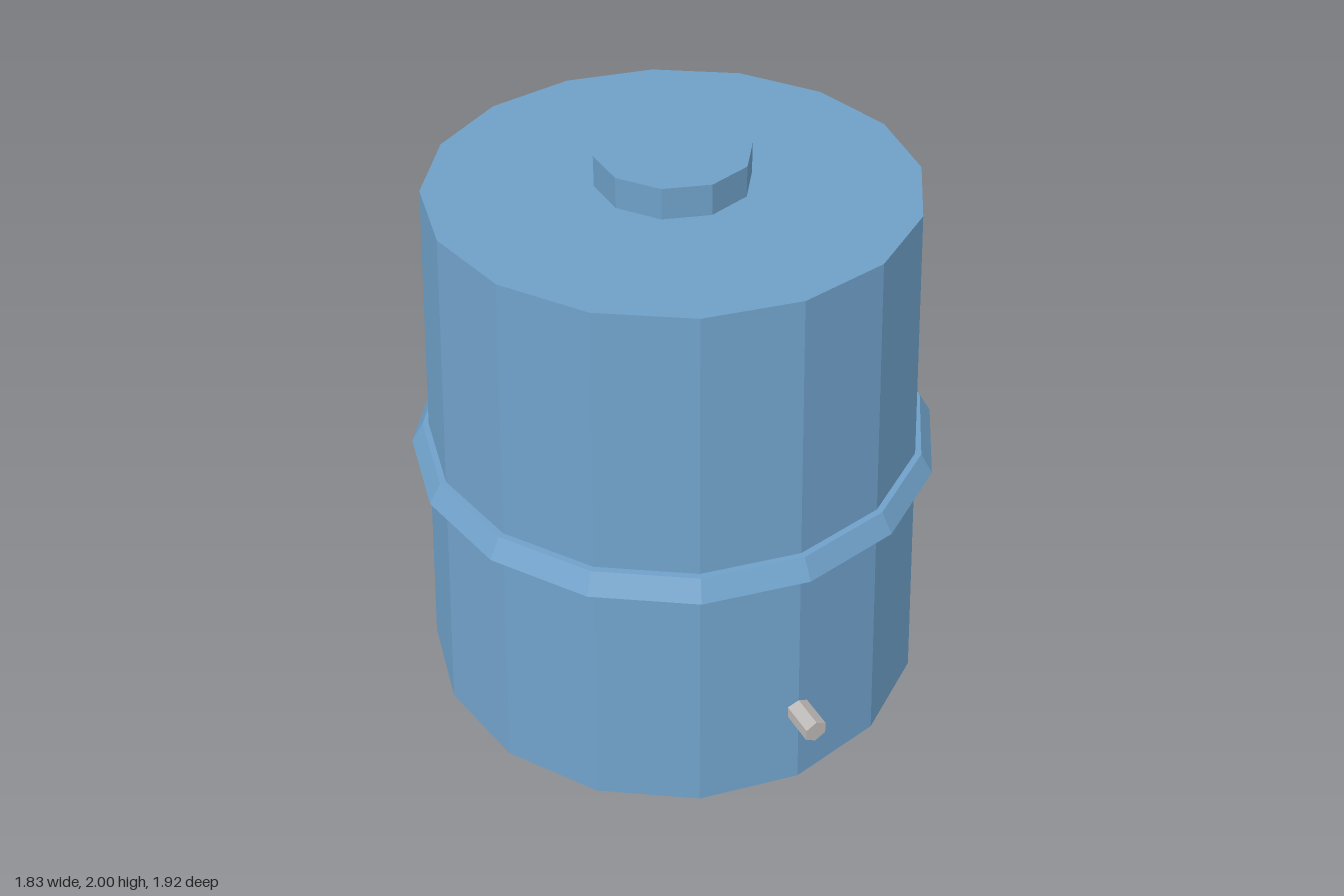
import * as THREE from 'three';

export function createModel() {
  const model = new THREE.Group();
  const blue = new THREE.MeshStandardMaterial({ name: 'blue plastic', color: 0x6fa0c8, flatShading: true });
  const grey = new THREE.MeshStandardMaterial({ name: 'grey metal', color: 0xbcb8b6, flatShading: true });
  const axisZ = -0.044; // the tank sits slightly back to balance the spout

  // Upright faceted drum between two heights
  function drum(name, rTop, rBottom, y0, y1, sides) {
    const mesh = new THREE.Mesh(new THREE.CylinderGeometry(rTop, rBottom, y1 - y0, sides), blue);
    mesh.name = name;
    mesh.position.set(0, (y0 + y1) / 2, axisZ);
    model.add(mesh);
  }

  drum('tankBody', 0.798, 0.91, 0, 1.895, 16);
  drum('middleBand', 0.873, 0.915, 0.915, 0.985, 16);
  drum('lidCap', 0.254, 0.254, 1.895, 2, 10);

  // Hexagonal outlet pointing forward
  const spoutGeometry = new THREE.CylinderGeometry(0.043, 0.043, 0.135, 6).rotateX(Math.PI / 2);
  const spout = new THREE.Mesh(spoutGeometry, grey);
  spout.name = 'spout';
  spout.position.set(0, 0.312, 0.8905);
  model.add(spout);

  return model;
}
